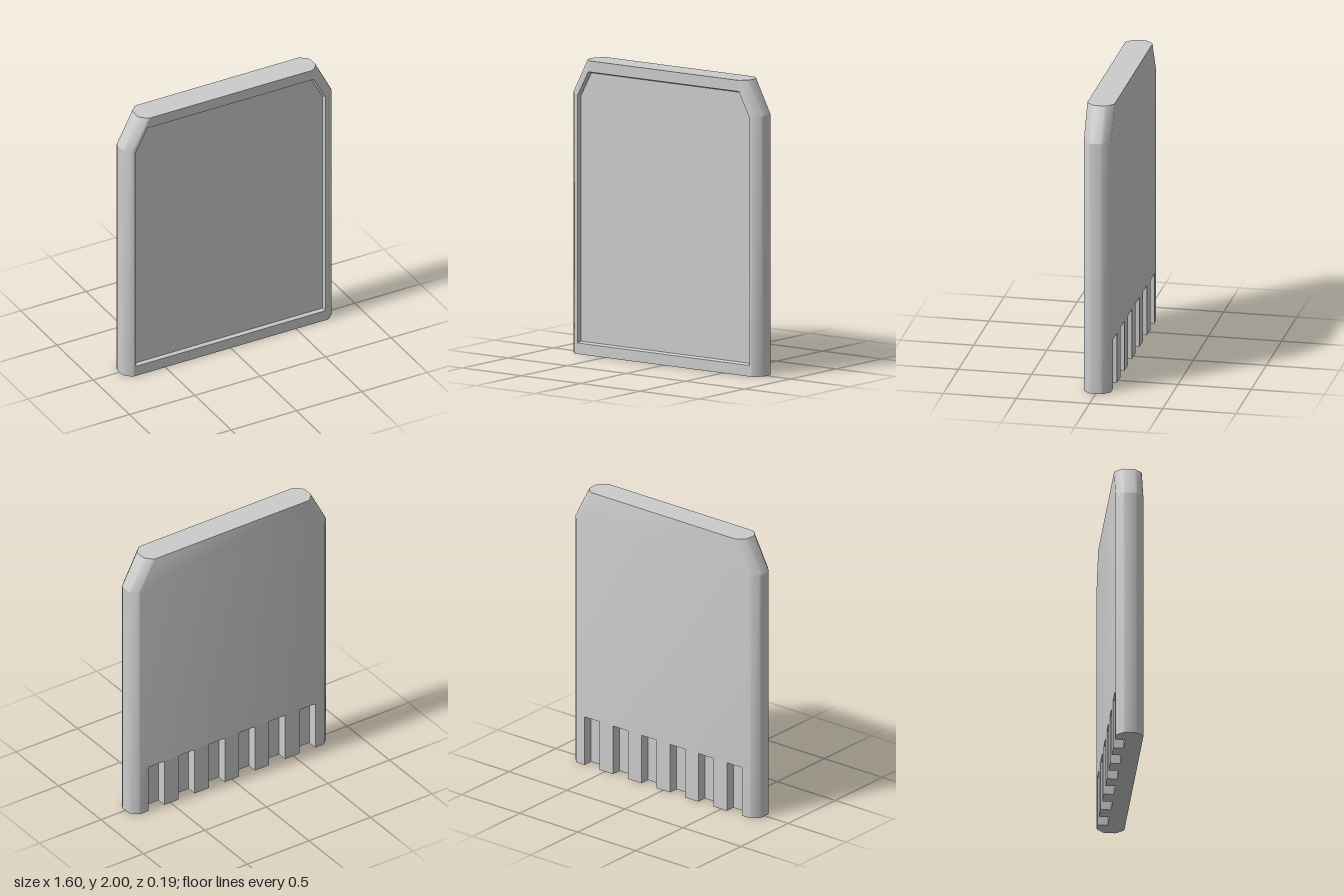
import * as THREE from 'three';
import { mergeGeometries, toCreasedNormals } from 'three/addons/utils/BufferGeometryUtils.js';

const HALF_W = 0.8, TOP_W = 0.68, D = 0.093, BEVEL = 0.06;
const SHOULDER = 1.77, HEIGHT = 2;
const SLOT = { count: 6, pitch: 0.245, width: 0.13, depth: 0.07, height: 0.35 };
const slotX = (i) => (i - (SLOT.count - 1) / 2) * SLOT.pitch;

// Quads between two matching rows of [x, y, z] points
function strip(rowA, rowB) {
  const pos = [];
  for (let i = 0; i < rowA.length - 1; i++) {
    const a = rowA[i], b = rowA[i + 1], c = rowB[i + 1], e = rowB[i];
    pos.push(...a, ...b, ...c, ...a, ...c, ...e);
  }
  const geo = new THREE.BufferGeometry();
  geo.setAttribute('position', new THREE.Float32BufferAttribute(pos, 3));
  return geo;
}

// Horizontal section [x, z]: right front edge, round the back, to left front edge
function section(w, slotted) {
  const edge = [[BEVEL, 0], [0.045, 0.006], [0.006, 0.045], [0, BEVEL]];
  const right = [
    ...edge.map(([u, v]) => [w - u, D - v]),
    ...edge.slice().reverse().map(([u, v]) => [w - u, -D + v]),
  ];
  const left = right.slice().reverse().map(([x, z]) => [-x, z]);
  const teeth = [];
  if (slotted) {
    for (let i = SLOT.count - 1; i >= 0; i--) {
      const r = slotX(i) + SLOT.width / 2, l = slotX(i) - SLOT.width / 2;
      teeth.push([r, -D], [r, -D + SLOT.depth], [l, -D + SLOT.depth], [l, -D]);
    }
  }
  return [...right, ...teeth, ...left];
}

const toShape = (pts) => new THREE.Shape(pts.map(([x, y]) => new THREE.Vector2(x, y)));
const atY = (pts, y) => pts.map(([x, z]) => [x, y, z]);
const atZ = (pts, z) => pts.map(([x, y]) => [x, y, z]);

// Front outline with clipped upper corners, counter-clockwise
const outline = (w, y0, yShoulder, wTop, yTop) => [
  [-w, y0], [w, y0], [w, yShoulder], [wTop, yTop], [-wTop, yTop], [-w, yShoulder],
];

export function createModel() {
  const group = new THREE.Group();
  const material = new THREE.MeshStandardMaterial({ color: 0xcccccc });
  const add = (name, geo) => {
    const mesh = new THREE.Mesh(geo, material);
    mesh.name = name;
    group.add(mesh);
  };

  // Sides and back: slotted foot, straight middle, tapered shoulders
  const foot = section(HALF_W, true), middle = section(HALF_W), top = section(TOP_W);
  const shell = mergeGeometries([
    strip(atY(foot, 0), atY(foot, SLOT.height)),
    strip(atY(middle, SLOT.height), atY(middle, SHOULDER)),
    strip(atY(middle, SHOULDER), atY(top, HEIGHT)),
  ]);
  add('shell', toCreasedNormals(shell, 0.43));

  // End faces
  add('topFace', new THREE.ShapeGeometry(toShape(top.map(([x, z]) => [x, -z])))
    .rotateX(-Math.PI / 2).translate(0, HEIGHT, 0));
  add('bottomFace', new THREE.ShapeGeometry(toShape(foot)).rotateX(Math.PI / 2));

  // Upper ends of the contact slots
  for (let i = 0; i < SLOT.count; i++) {
    add('slotEnd', new THREE.PlaneGeometry(SLOT.width, SLOT.depth).rotateX(Math.PI / 2)
      .translate(slotX(i), SLOT.height, -D + SLOT.depth / 2));
  }

  // Front rim around the recessed label panel
  const rimOuter = outline(HALF_W - BEVEL, 0, SHOULDER, TOP_W - BEVEL, HEIGHT);
  const lip = outline(0.725, 0.075, 1.757, 0.635, 1.925);
  const panel = outline(0.715, 0.085, 1.753, 0.628, 1.915);
  const rim = toShape(rimOuter);
  rim.holes.push(toShape(lip));
  add('frontRim', new THREE.ShapeGeometry(rim).translate(0, 0, D));

  const floorZ = D - 0.025;
  const closed = (pts) => [...pts, pts[0]];
  const wall = strip(atZ(closed(lip), D), atZ(closed(panel), floorZ));
  wall.computeVertexNormals();
  add('recessWall', wall);
  add('labelPanel', new THREE.ShapeGeometry(toShape(panel)).translate(0, 0, floorZ));

  return group;
}
